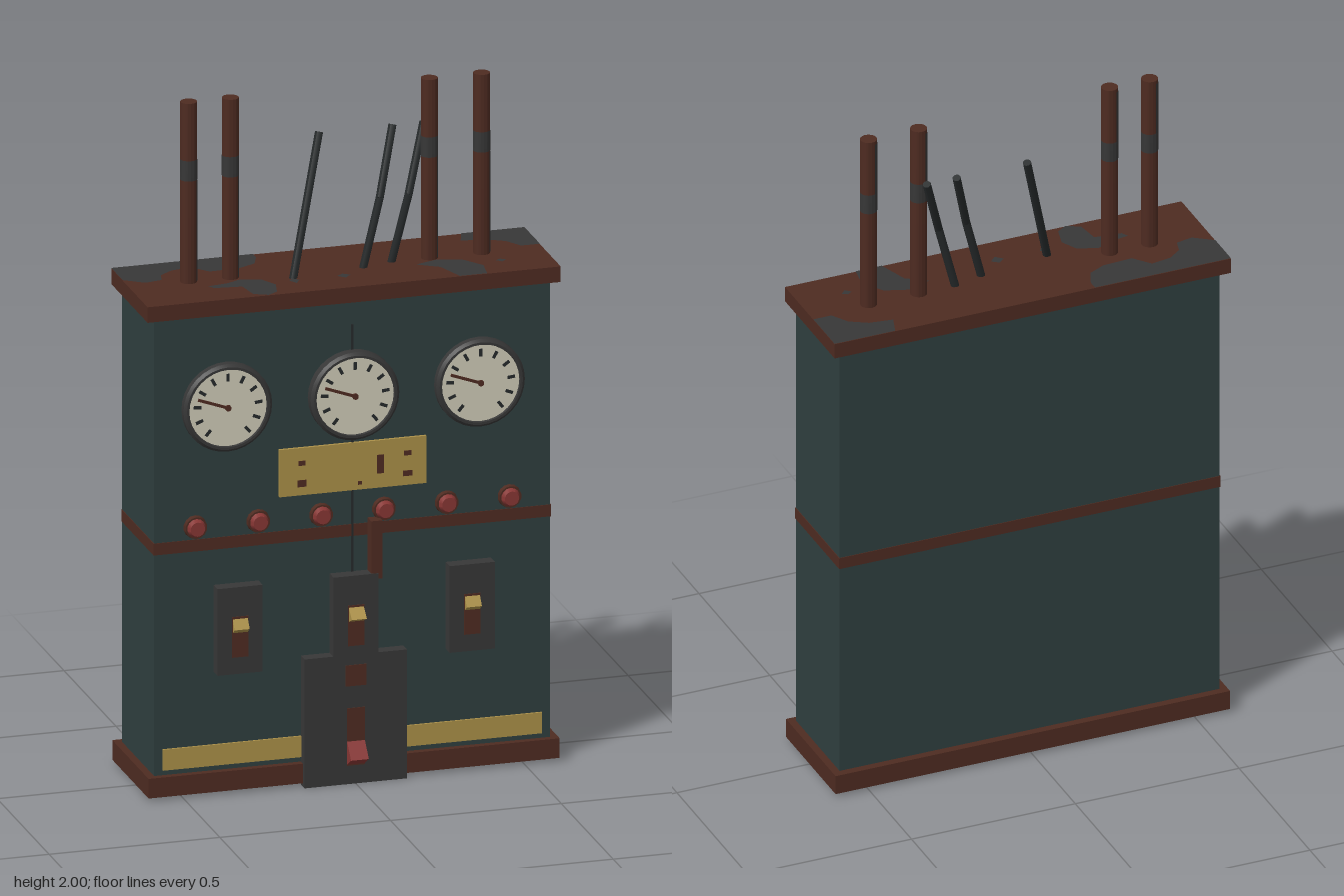
import * as THREE from 'three';
import { toCreasedNormals } from 'three/addons/utils/BufferGeometryUtils.js';

const mat = (name, color) => {
  const m = new THREE.MeshStandardMaterial({ color });
  m.name = name;
  return m;
};

export function createModel() {
  const root = new THREE.Group();
  root.name = 'controlCabinet';
  const teal = mat('dark teal paint', 0x2f3f3f);
  const rust = mat('rust brown', 0x4e2b21);
  const iron = mat('charcoal iron', 0x373737);
  const black = mat('black rod', 0x25292a);
  const brass = mat('brass', 0xab9048);
  const red = mat('red', 0x873634);
  const cream = mat('cream dial', 0xcfcbb8);
  const FRONT = 0.13;

  const add = (name, geo, material, parent = root) => {
    const m = new THREE.Mesh(geo, material);
    m.name = name;
    parent.add(m);
    return m;
  };
  // box given by its limits on each axis
  const box = (name, material, x0, x1, y0, y1, z0, z1, parent = root) => {
    const m = add(name, new THREE.BoxGeometry(x1 - x0, y1 - y0, z1 - z0), material, parent);
    m.position.set((x0 + x1) / 2, (y0 + y1) / 2, (z0 + z1) / 2);
    return m;
  };

  // cabinet shell
  box('body', teal, -0.58, 0.58, 0.05, 1.43, -0.177, FRONT);
  box('base', rust, -0.602, 0.602, 0.01, 0.068, -0.2, 0.15);
  box('cap', rust, -0.605, 0.605, 1.42, 1.466, -0.2, 0.15);
  box('rustBand', rust, -0.582, 0.582, 0.722, 0.757, -0.179, FRONT + 0.002);

  // bare metal patches on the cap, outlines in x, z
  const patches = [
    [[-0.605, -0.2], [-0.19, -0.2], [-0.19, -0.17], [-0.21, -0.12], [-0.26, -0.095], [-0.35, -0.09],
      [-0.39, -0.14], [-0.45, -0.13], [-0.49, -0.1], [-0.5, -0.06], [-0.55, -0.05], [-0.605, -0.09]],
    [[0.42, -0.2], [0.605, -0.2], [0.605, -0.05], [0.55, -0.05], [0.52, -0.1], [0.47, -0.13], [0.4, -0.14]],
    [[-0.39, 0.03], [-0.33, 0.02], [-0.29, 0.0], [-0.23, 0.02], [-0.205, 0.07], [-0.22, 0.13],
      [-0.25, 0.15], [-0.29, 0.13], [-0.3, 0.06], [-0.38, 0.05]],
    [[0.22, 0.02], [0.29, -0.005], [0.36, 0.02], [0.4, 0.08], [0.39, 0.15], [0.31, 0.15], [0.28, 0.06]],
    [[-0.02, 0.05], [0, 0.035], [0.02, 0.05], [0, 0.07]],
    [[-0.16, 0.05], [-0.145, 0.035], [-0.13, 0.05], [-0.145, 0.075]],
    [[0.445, 0.05], [0.46, 0.04], [0.475, 0.05], [0.46, 0.065]],
  ];
  patches.forEach((pts) => {
    const shape = new THREE.Shape(pts.map(([x, z]) => new THREE.Vector2(x, -z)));
    add('capPatch', new THREE.ShapeGeometry(shape).rotateX(-Math.PI / 2), iron).position.y = 1.4675;
  });

  // upright pipes with a worn collar and streaks
  for (const x of [-0.43, -0.308, 0.275, 0.428]) {
    const pipe = new THREE.Group();
    pipe.name = 'pipe';
    pipe.position.set(x, 0, -0.03);
    root.add(pipe);
    const tube = (name, m, r, y0, y1, start = 0, arc = Math.PI * 2, open = false) => {
      const g = new THREE.CylinderGeometry(r, r, y1 - y0, 16, 1, open, start, arc);
      add(name, toCreasedNormals(g, 0.7), m, pipe).position.y = (y0 + y1) / 2;
    };
    tube('pipeTube', rust, 0.024, 1.45, 2);
    tube('pipeWorn', iron, 0.0245, 1.77, 1.83, 0, Math.PI * 2, true);
    tube('pipeStreak', iron, 0.0245, 1.47, 1.77, 0.8, 0.6, true);
    tube('pipeStreak', iron, 0.0245, 1.83, 1.99, 3.6, 0.7, true);
  }

  // slanting rods, two of them bent half way
  const rods = [
    [[-0.145, 1.45, 0.03], [-0.03, 1.85, -0.09]],
    [[0.07, 1.45, -0.005], [0.128, 1.66, -0.025], [0.185, 1.85, -0.09]],
    [[0.16, 1.45, -0.03], [0.214, 1.66, -0.03], [0.276, 1.85, -0.09]],
  ];
  for (const pts of rods) {
    const v = pts.map((p) => new THREE.Vector3(...p));
    for (let i = 0; i + 1 < v.length; i++) {
      const dir = v[i + 1].clone().sub(v[i]);
      const g = toCreasedNormals(new THREE.CylinderGeometry(0.012, 0.012, dir.length(), 8), 0.9);
      const rod = add('rod', g, black);
      rod.position.copy(v[i]).add(v[i + 1]).multiplyScalar(0.5);
      rod.quaternion.setFromUnitVectors(new THREE.Vector3(0, 1, 0), dir.normalize());
    }
  }

  // round gauges: bezel, dial, ticks and needle
  const gauge = (x, depth) => {
    const g = new THREE.Group();
    g.name = 'gauge';
    g.position.set(x, 1.145, FRONT);
    root.add(g);
    const profile = [[0.13, 0], [0.13, depth - 0.008], [0.122, depth], [0.115, depth], [0.113, depth - 0.008]];
    const bezel = new THREE.LatheGeometry(profile.map((p) => new THREE.Vector2(...p)), 32).rotateX(Math.PI / 2);
    add('bezel', toCreasedNormals(bezel, 0.5), iron, g);
    const z = depth - 0.007;
    add('dial', new THREE.CircleGeometry(0.115, 32), cream, g).position.z = z;
    for (let i = 0; i < 11; i++) {
      const a = (-50 + i * 28) * Math.PI / 180;
      const tick = add('tick', new THREE.BoxGeometry(0.022, 0.009, 0.003), black, g);
      tick.position.set(Math.cos(a) * 0.09, Math.sin(a) * 0.09, z + 0.001);
      tick.rotation.z = a;
    }
    const needle = add('needle', new THREE.BoxGeometry(0.095, 0.008, 0.004), rust, g);
    needle.position.set(-0.043, 0.016, z + 0.003);
    needle.rotation.z = -0.35;
    add('needleHub', new THREE.CylinderGeometry(0.009, 0.009, 0.007, 10).rotateX(Math.PI / 2), rust, g).position.z = z + 0.003;
  };
  gauge(-0.37, 0.028);
  gauge(0, 0.036);
  gauge(0.37, 0.028);

  // centre wire, brass plate with specks, lower trim
  box('wire', black, -0.003, 0.003, 0.6, 1.35, FRONT, FRONT + 0.005);
  box('brassPlate', brass, -0.215, 0.215, 0.86, 1.0, FRONT, FRONT + 0.009);
  const specks = [[-0.15, 0.955, 0.02, 0.014], [-0.15, 0.895, 0.026, 0.02], [0.08, 0.93, 0.02, 0.055],
    [0.16, 0.955, 0.022, 0.014], [0.16, 0.895, 0.026, 0.016], [0.02, 0.88, 0.012, 0.01]];
  for (const [x, y, w, h] of specks) {
    box('plateSpeck', rust, x - w / 2, x + w / 2, y - h / 2, y + h / 2, FRONT, FRONT + 0.011);
  }
  box('brassTrim', brass, -0.555, 0.555, 0.083, 0.145, FRONT, FRONT + 0.006);

  // row of red push buttons
  for (const x of [-0.46, -0.276, -0.092, 0.092, 0.276, 0.46]) {
    const ring = new THREE.CylinderGeometry(0.032, 0.034, 0.014, 14).rotateX(Math.PI / 2);
    add('buttonRing', toCreasedNormals(ring, 0.7), rust).position.set(x, 0.795, FRONT + 0.007);
    const cap = new THREE.CylinderGeometry(0.021, 0.028, 0.016, 14).rotateX(Math.PI / 2);
    add('button', toCreasedNormals(cap, 0.7), red).position.set(x, 0.795, FRONT + 0.02);
  }

  // wedge-shaped switch knob, apex below its middle
  const knob = (name, m, x, y0, y1, z0, z1, w) => {
    const s = new THREE.Shape([[z0, y0], [z1, y0 + (y1 - y0) * 0.35], [z0, y1]].map((p) => new THREE.Vector2(...p)));
    const g = new THREE.ExtrudeGeometry(s, { depth: w, bevelEnabled: false }).rotateY(-Math.PI / 2);
    add(name, g, m).position.x = x + w / 2;
  };

  // three switches
  for (const x of [-0.34, 0, 0.34]) {
    box('switchPlate', iron, x - 0.066, x + 0.066, 0.36, 0.617, FRONT, 0.169);
    box('switchSlot', rust, x - 0.024, x + 0.024, 0.41, 0.53, 0.165, 0.171);
    knob('switchKnob', brass, x, 0.482, 0.525, 0.17, x === 0 ? 0.201 : 0.19, 0.044);
  }

  // large lever housing at the bottom
  box('leverPlate', iron, -0.15, 0.15, 0, 0.382, FRONT, 0.166);
  box('upperSlot', rust, -0.03, 0.03, 0.29, 0.352, 0.16, 0.168);
  box('lowerSlot', rust, -0.026, 0.026, 0.055, 0.225, 0.16, 0.168);
  knob('leverKnob', red, 0, 0.058, 0.128, 0.167, 0.206, 0.052);

  // upright handle beside the centre switch
  box('handle', rust, 0.045, 0.078, 0.6, 0.772, FRONT, 0.167);

  return root;
}
